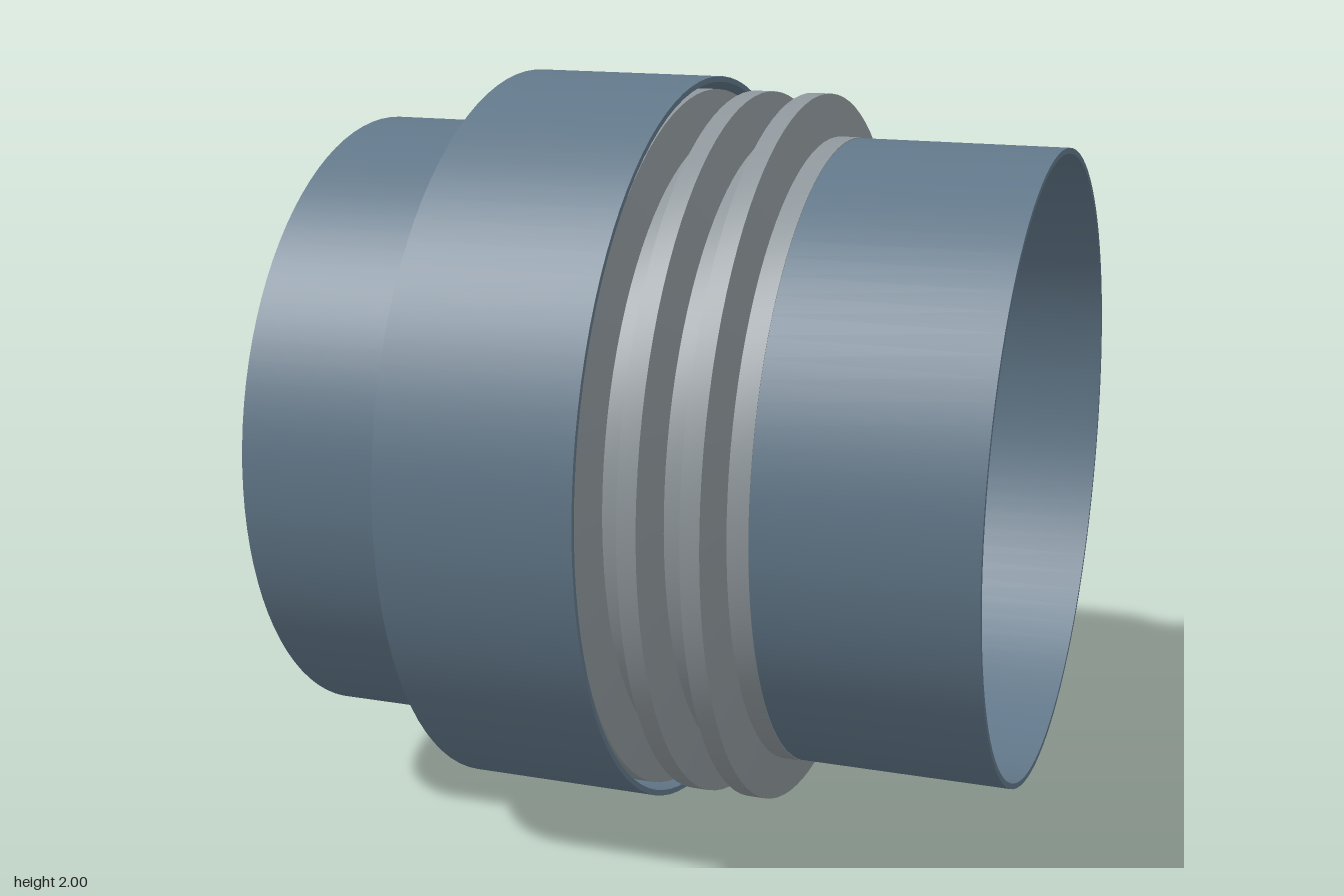
import * as THREE from 'three';
import { toCreasedNormals } from 'three/addons/utils/BufferGeometryUtils.js';

const WALL = 0.015;
const PIPE_R = 0.85;
const SEGMENTS = 96;

const steel = new THREE.MeshStandardMaterial({ color: 0x62788a });
const bellowsSteel = new THREE.MeshStandardMaterial({ color: 0x90989d });

// Revolves a closed [x, radius] profile (outer side in +x order) around the x axis
function revolve(name, profile, material) {
  const points = [...profile, profile[0]].map(([x, r]) => new THREE.Vector2(r, x));
  const lathe = new THREE.LatheGeometry(points, SEGMENTS);
  lathe.rotateZ(-Math.PI / 2);
  const mesh = new THREE.Mesh(toCreasedNormals(lathe, Math.PI / 9), material);
  mesh.name = name;
  mesh.position.y = 1;
  return mesh;
}

function pipe(name, x0, x1) {
  const inner = PIPE_R - WALL;
  return revolve(name, [[x0, PIPE_R], [x1, PIPE_R], [x1, inner], [x0, inner]], steel);
}

// Thin corrugated tube with flat crests and a short cuff at each end
function bellows() {
  const valley = PIPE_R + 0.002, crest = 0.965;
  const outer = [[-0.455, valley]];
  for (let i = -2; i <= 2; i++) {
    const c = -0.025 + i * 0.16;
    outer.push([c - 0.055, valley], [c - 0.025, crest], [c + 0.025, crest], [c + 0.055, valley]);
  }
  outer.push([0.405, valley]);
  const inner = outer.map(([x, r]) => [x, r - WALL]).reverse();
  return revolve('bellows', [...outer, ...inner], bellowsSteel);
}

// Protective sleeve, closed to the left pipe by an annular wall, open over the bellows
function sleeve() {
  const left = -0.52, right = 0.01, R = 1;
  return revolve('sleeve', [
    [left, PIPE_R], [left, R], [right, R], [right, R - WALL],
    [left + WALL, R - WALL], [left + WALL, PIPE_R],
  ], steel);
}

export function createModel() {
  const group = new THREE.Group();
  group.name = 'expansionJoint';
  group.add(
    pipe('rightEndPipe', -0.97, -0.4),
    pipe('leftEndPipe', 0.35, 0.97),
    bellows(),
    sleeve(),
  );
  return group;
}
